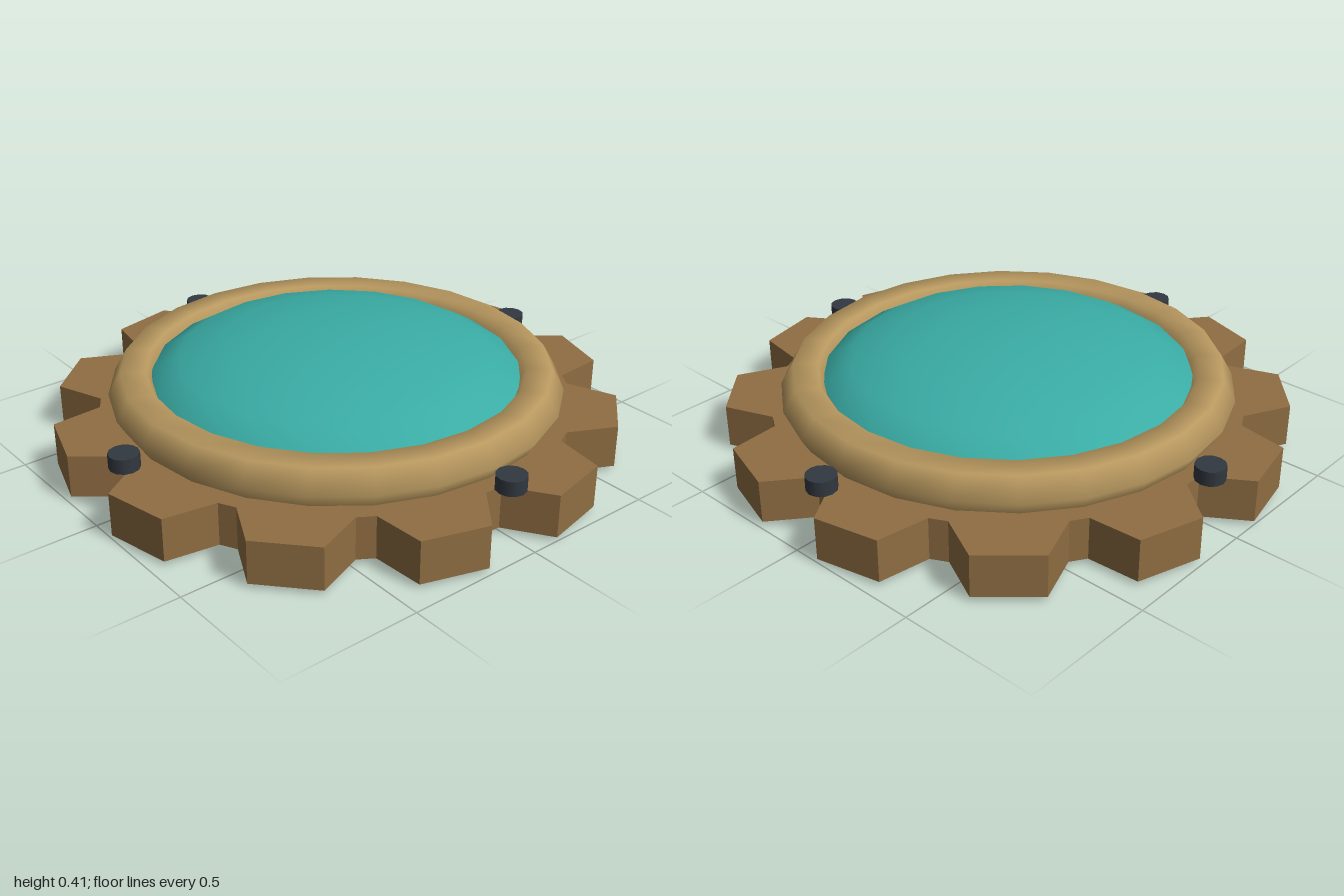
import * as THREE from 'three';

const mat = (name, color) => {
  const m = new THREE.MeshStandardMaterial({ color });
  m.name = name;
  return m;
};

export function createModel() {
  const bronze = mat('bronze', 0x8f6d42);
  const brass = mat('brass', 0xb8985f);
  const teal = mat('teal', 0x3aaca5);
  const iron = mat('dark iron', 0x323840);

  const model = new THREE.Group();
  model.name = 'gearMedallion';
  const add = (name, geometry, material, x = 0, y = 0, z = 0) => {
    const mesh = new THREE.Mesh(geometry, material);
    mesh.name = name;
    mesh.position.set(x, y, z);
    model.add(mesh);
    return mesh;
  };

  // Twelve-tooth gear plate: root, tip, tip, root corners for each tooth
  const teeth = 12;
  const profile = [[0, 0.843], [6.1, 1.005], [19.6, 1.005], [25.6, 0.843]];
  const outline = [];
  for (let i = 0; i < teeth; i++) {
    for (const [offset, r] of profile) {
      const a = THREE.MathUtils.degToRad(4.7 + i * 30 + offset);
      outline.push(new THREE.Vector2(r * Math.cos(a), -r * Math.sin(a)));
    }
  }
  const gear = new THREE.ExtrudeGeometry(new THREE.Shape(outline.reverse()), {
    depth: 0.155, bevelEnabled: false,
  });
  gear.rotateX(-Math.PI / 2);
  add('gearPlate', gear, bronze, 0, 0.015, 0);

  // Raised rim with a six-sided section
  const rim = new THREE.TorusGeometry(0.72, 0.09, 6, 24);
  rim.rotateX(-Math.PI / 2);
  add('rim', rim, brass, 0, 0.22, 0);

  // Flattened lens, just showing through the underside
  const lens = new THREE.SphereGeometry(1, 20, 10);
  lens.scale(0.69, 0.2075, 0.69);
  add('lens', lens, teal, 0, 0.2075, 0);

  // Four studs around the rim
  const stud = new THREE.CylinderGeometry(0.053, 0.053, 0.053, 12);
  for (let i = 0; i < 4; i++) {
    const a = (i * Math.PI) / 2;
    add('stud' + (i + 1), stud, iron, 0.88 * Math.cos(a), 0.205, 0.88 * Math.sin(a));
  }

  return model;
}
